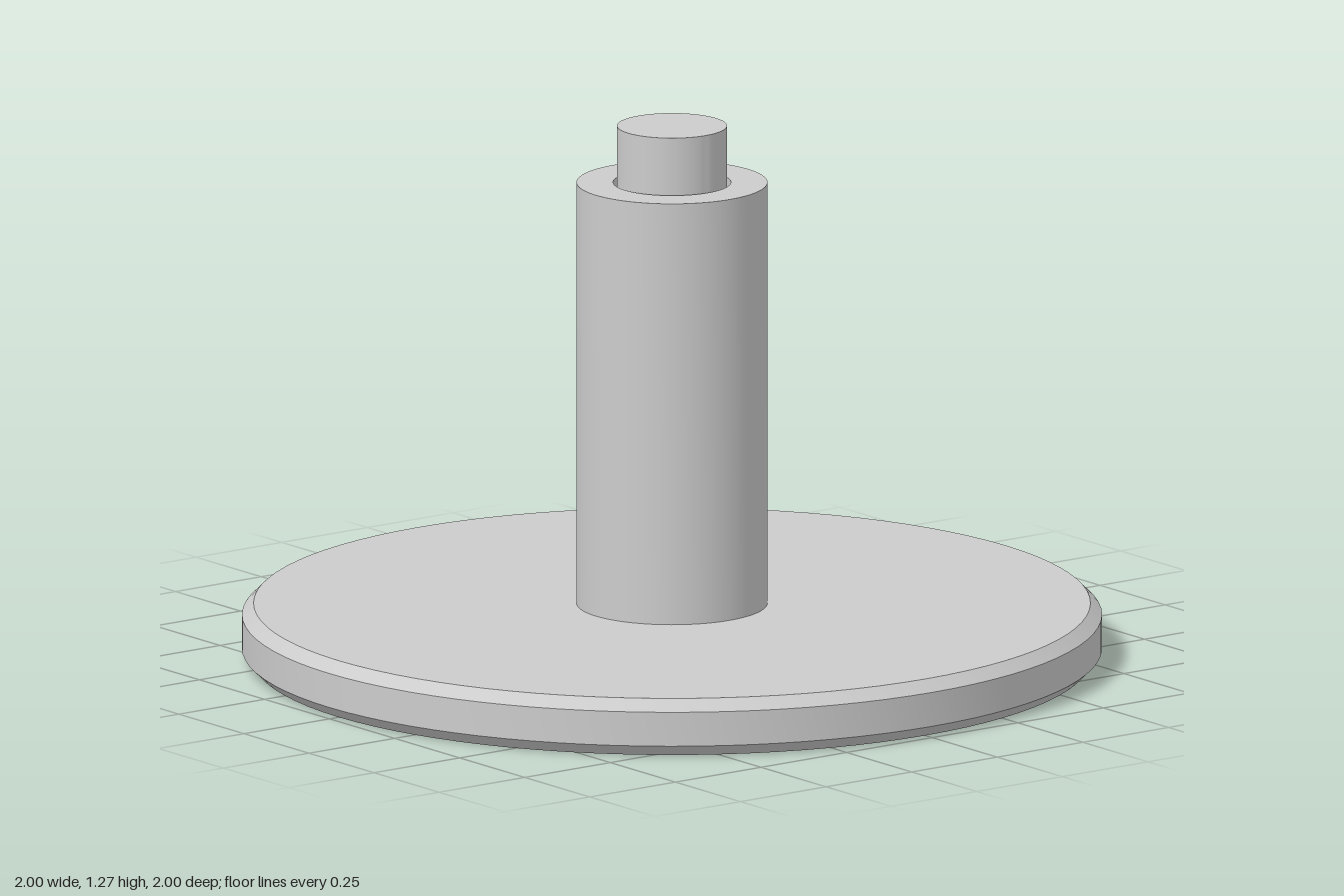
import * as THREE from 'three';
import { toCreasedNormals } from 'three/addons/utils/BufferGeometryUtils.js';

const SEGMENTS = 96;

export function createModel() {
  const group = new THREE.Group();
  const grey = new THREE.MeshStandardMaterial({ color: 0xcccccc });
  grey.name = 'light grey';

  // Turned part from an [radius, height] profile, with sharp edges kept
  function turned(name, profile) {
    const points = profile.map(([r, y]) => new THREE.Vector2(r, y));
    const geometry = toCreasedNormals(new THREE.LatheGeometry(points, SEGMENTS), 0.5);
    const mesh = new THREE.Mesh(geometry, grey);
    mesh.name = name;
    group.add(mesh);
  }

  const baseTop = 0.135, bevel = 0.027;

  // Round base plate, bevelled at both rims
  turned('basePlate', [
    [0, 0], [1 - bevel, 0], [1, bevel],
    [1, baseTop - bevel], [1 - bevel, baseTop], [0, baseTop],
  ]);

  // Hollow column standing on the plate
  turned('column', [
    [0.137, baseTop], [0.222, baseTop], [0.222, 1.14], [0.137, 1.14], [0.137, baseTop],
  ]);

  // Pin sitting in the column bore with a narrow gap around it
  turned('pin', [[0, baseTop], [0.128, baseTop], [0.128, 1.275], [0, 1.275]]);

  return group;
}
